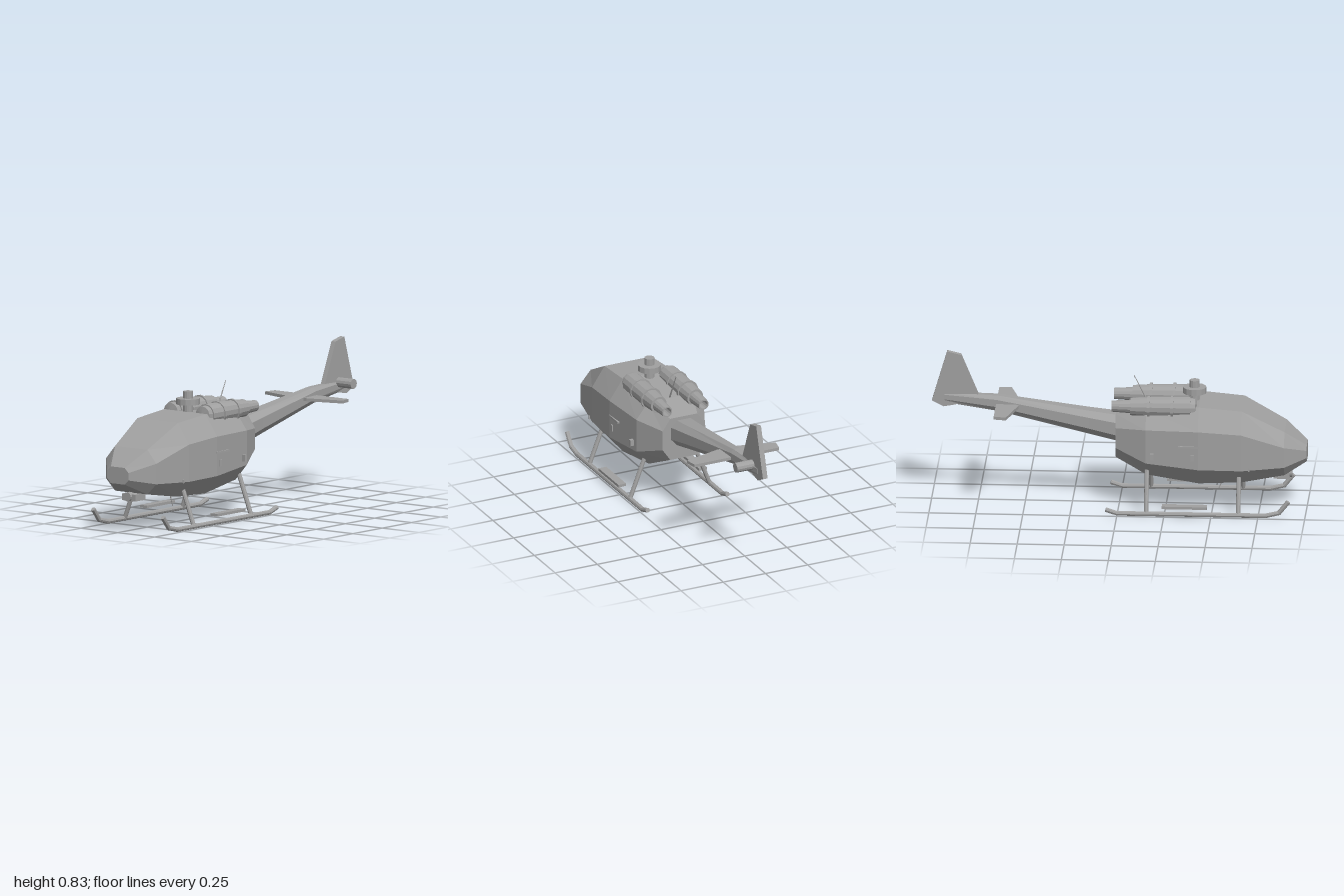
import * as THREE from 'three';

const paint = new THREE.MeshStandardMaterial({ color: 0xa0a0a0, flatShading: true });
paint.name = 'plain grey';
const V = (x, y, z) => new THREE.Vector3(x, y, z);

// Skin over rings listed front to back, each counterclockwise seen from the front; both ends capped
function loft(rings) {
  const n = rings[0].length, pos = [];
  const tri = (...p) => p.forEach((v) => pos.push(v.x, v.y, v.z));
  const last = rings[rings.length - 1];
  for (let i = 0; i < rings.length - 1; i++) {
    for (let j = 0; j < n; j++) {
      const k = (j + 1) % n;
      const a = rings[i][j], b = rings[i][k], c = rings[i + 1][j], d = rings[i + 1][k];
      tri(a, c, b);
      tri(b, c, d);
    }
  }
  for (let j = 1; j < n - 1; j++) {
    tri(rings[0][0], rings[0][j], rings[0][j + 1]);
    tri(last[0], last[j + 1], last[j]);
  }
  const geo = new THREE.BufferGeometry();
  geo.setAttribute('position', new THREE.Float32BufferAttribute(pos, 3));
  geo.computeVertexNormals();
  return geo;
}

// Eight-cornered cross-section
const octagon = ([z, top, up, low, bottom, wTop, wSide, wBottom]) => [
  V(wSide, low, z), V(wSide, up, z), V(wTop, top, z), V(-wTop, top, z),
  V(-wSide, up, z), V(-wSide, low, z), V(-wBottom, bottom, z), V(wBottom, bottom, z),
];

// Straight rod between two points
function rod(a, b, r0, r1 = r0, sides = 8) {
  const dir = b.clone().sub(a);
  const geo = new THREE.CylinderGeometry(r1, r0, dir.length(), sides);
  geo.applyQuaternion(new THREE.Quaternion().setFromUnitVectors(V(0, 1, 0), dir.normalize()));
  const m = a.clone().add(b).multiplyScalar(0.5);
  return geo.translate(m.x, m.y, m.z);
}

const box = (w, h, d, x, y, z) => new THREE.BoxGeometry(w, h, d).translate(x, y, z);

// Skid tube swept along [y, z] points with mitred bends
function skidTube(x, r, path) {
  return loft(path.map(([y, z], i) => {
    const p = path[Math.max(i - 1, 0)], q = path[Math.min(i + 1, path.length - 1)];
    const ty = q[0] - p[0], tz = q[1] - p[1], len = Math.hypot(ty, tz);
    return Array.from({ length: 8 }, (_, j) => {
      const a = (j / 8) * Math.PI * 2, s = Math.sin(a) * r;
      return V(x + Math.cos(a) * r, y - (s * tz) / len, z + (s * ty) / len);
    });
  }));
}

export function createModel() {
  const model = new THREE.Group();
  model.name = 'helicopter';
  const add = (name, geo) => {
    const mesh = new THREE.Mesh(geo, paint);
    mesh.name = name;
    model.add(mesh);
    return mesh;
  };

  // Cabin: z, top, upper side, lower side, bottom, half-widths of top, side, bottom
  add('fuselage', loft([
    [1.0, 0.355, 0.33, 0.29, 0.265, 0.047, 0.072, 0.047],
    [0.885, 0.445, 0.375, 0.265, 0.205, 0.11, 0.17, 0.11],
    [0.66, 0.565, 0.455, 0.255, 0.168, 0.138, 0.212, 0.132],
    [0.43, 0.585, 0.472, 0.26, 0.16, 0.143, 0.222, 0.14],
    [0.15, 0.56, 0.47, 0.285, 0.2, 0.13, 0.2, 0.125],
    [-0.015, 0.52, 0.455, 0.345, 0.28, 0.08, 0.125, 0.08],
  ].map(octagon)));

  // Tail
  add('tailBoom', loft([
    [0.0, 0.5, 0.465, 0.395, 0.355, 0.04, 0.077, 0.04],
    [-0.16, 0.52, 0.49, 0.43, 0.392, 0.034, 0.065, 0.034],
    [-0.65, 0.59, 0.57, 0.53, 0.505, 0.018, 0.034, 0.018],
    [-0.93, 0.6, 0.588, 0.562, 0.545, 0.009, 0.016, 0.009],
  ].map(octagon)));

  const finShape = new THREE.Shape([
    [0.75, 0.59], [0.87, 0.535], [0.935, 0.523], [0.998, 0.555], [0.917, 0.83], [0.843, 0.812],
  ].map(([z, y]) => new THREE.Vector2(z, y)));
  add('tailFin', new THREE.ExtrudeGeometry(finShape, { depth: 0.028, bevelEnabled: false })
    .translate(0, 0, -0.014).rotateY(Math.PI / 2));

  const stabilizerShape = new THREE.Shape([
    [-0.25, 0.655], [-0.263, 0.59], [-0.06, 0.535], [0.06, 0.535], [0.263, 0.59], [0.25, 0.655],
  ].map(([x, z]) => new THREE.Vector2(x, z)));
  add('stabilizer', new THREE.ExtrudeGeometry(stabilizerShape, { depth: 0.016, bevelEnabled: false })
    .rotateX(-Math.PI / 2).translate(0, 0.532, 0));

  add('tailRotorHub', rod(V(0, 0.59, -0.87), V(0.115, 0.59, -0.87), 0.027, 0.027, 12));

  // Main rotor mast
  add('rotorMast', rod(V(0, 0.55, 0.4), V(0, 0.693, 0.4), 0.027, 0.027, 14));
  add('rotorHub', rod(V(0, 0.623, 0.4), V(0, 0.655, 0.4), 0.063, 0.063, 14));

  // Aerials
  add('topAerial', rod(V(0, 0.54, 0.165), V(0, 0.712, 0.078), 0.005, 0.002, 6));
  add('bellyAerial', rod(V(0, 0.17, 0.56), V(0, 0.09, 0.53), 0.004, 0.002, 6));

  // Sensor under the nose
  add('sensorMount', box(0.092, 0.036, 0.085, 0, 0.181, 0.865));
  add('sensor', rod(V(0, 0.186, 0.8), V(0, 0.186, 0.92), 0.025, 0.025, 12));

  // Engine outline, exhaust to intake, as [radius, z]
  const engine = [
    [0, 0.03], [0.021, 0.03], [0.023, -0.035], [0.03, -0.035], [0.036, 0.065],
    [0.047, 0.065], [0.053, 0.155], [0.061, 0.155], [0.061, 0.17], [0.054, 0.17],
    [0.057, 0.28], [0.063, 0.28], [0.063, 0.295], [0.057, 0.295],
    [0.058, 0.385], [0.051, 0.385], [0.048, 0.412], [0, 0.42],
  ].map(([r, z]) => new THREE.Vector2(r, z));

  for (const s of [1, -1]) {
    const side = s > 0 ? 'left' : 'right';
    add(side + 'Engine', new THREE.LatheGeometry(engine, 14).rotateX(Math.PI / 2)
      .translate(s * 0.108, 0.573, 0));

    // Landing gear
    add(side + 'Skid', skidTube(s * 0.236, 0.013, [
      [0.097, 0.912], [0.034, 0.862], [0.017, 0.79], [0.016, 0.0], [0.036, -0.06],
    ]));
    for (const z of [0.645, 0.155]) {
      add(side + 'Strut', rod(V(s * 0.234, 0.018, z), V(s * 0.15, 0.235, z), 0.012));
    }
    add(side + 'Step', box(0.046, 0.014, 0.24, s * 0.239, 0.059, 0.36));

    // Door fittings
    add(side + 'DoorHandle', box(0.012, 0.01, 0.11, s * 0.219, 0.386, 0.38));
    add(side + 'FrontLatch', box(0.014, 0.034, 0.018, s * 0.218, 0.327, 0.4));
    add(side + 'RearLatch', box(0.026, 0.034, 0.018, s * 0.21, 0.327, 0.185));
    add(side + 'Probe', box(0.008, 0.018, 0.008, s * 0.207, 0.262, 0.7));
  }
  return model;
}
